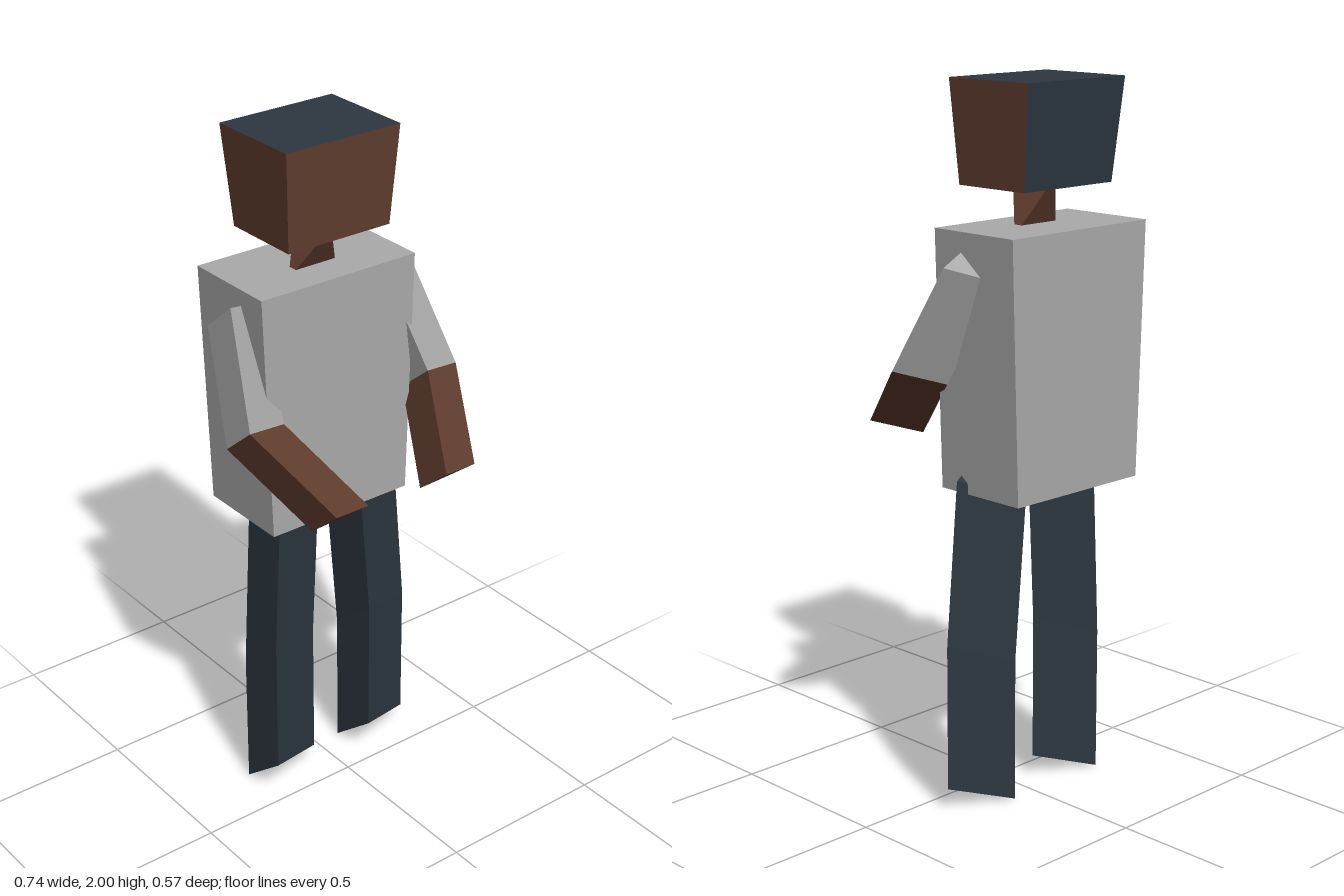
import * as THREE from 'three';

const paint = (name, color) => {
  const m = new THREE.MeshStandardMaterial({ color });
  m.name = name;
  return m;
};

// Closed solid through rings of corners, first ring on top, each ring
// counter-clockwise from above. Groups: 0 = sides and bottom, 1 = top and back.
function loft(rings, backSide = -1) {
  const pos = [], groups = [];
  const face = (slot, ...c) => {
    const start = pos.length / 3;
    for (let i = 1; i < c.length - 1; i++) pos.push(...c[0], ...c[i], ...c[i + 1]);
    groups.push([start, pos.length / 3 - start, slot]);
  };
  const n = rings[0].length;
  for (let r = 0; r < rings.length - 1; r++) {
    const a = rings[r], b = rings[r + 1];
    for (let i = 0; i < n; i++) {
      const j = (i + 1) % n;
      face(i === backSide ? 1 : 0, a[i], b[i], b[j], a[j]);
    }
  }
  face(1, ...rings[0]);
  face(0, ...[...rings[rings.length - 1]].reverse());
  const g = new THREE.BufferGeometry();
  g.setAttribute('position', new THREE.Float32BufferAttribute(pos, 3));
  groups.forEach((s) => g.addGroup(...s));
  g.computeVertexNormals();
  return g;
}

// Level rectangle
const rect = (y, x0, x1, z0, z1) => [[x0, y, z1], [x1, y, z1], [x1, y, z0], [x0, y, z0]];

// Three-sided limb: a fixed triangle swept along the path of its front corner
const ARM = [[0, 0, 0], [0.147, -0.04, -0.053], [0, -0.09, -0.108]];
const LEG = [[0, 0, 0], [0.19, -0.06, -0.08], [0, -0.125, -0.152]];
const limb = (section, path) =>
  loft(path.map((p) => section.map((c) => c.map((v, k) => v + p[k]))));

export function createModel() {
  const model = new THREE.Group();
  model.name = 'figure';
  const shirt = paint('grey shirt', 0xaaaaaa);
  const skin = paint('brown skin', 0x623e30);
  const dark = paint('dark navy', 0x2d3740);

  const add = (name, geometry, material) => {
    if (!Array.isArray(material)) geometry.clearGroups();
    const mesh = new THREE.Mesh(geometry, material);
    mesh.name = name;
    model.add(mesh);
  };

  // Head with hair on its top and back
  add('head', loft([
    rect(2, -0.208, 0.156, -0.27, 0.018),
    rect(1.72, -0.19, 0.14, -0.243, -0.003),
  ], 2), [skin, dark]);

  // Neck: a twisted wedge, edge along z above and along x below
  add('neck', loft([
    rect(1.74, -0.029, -0.027, -0.19, -0.035),
    rect(1.59, -0.105, 0.05, -0.121, -0.119),
  ]), skin);

  // Torso, narrower at the hem
  add('torso', loft([
    rect(1.615, -0.28, 0.227, -0.288, 0),
    rect(0.905, -0.256, 0.205, -0.288, 0),
  ]), shirt);

  // Arms: shoulder, elbow and hand
  const arms = {
    left: [[0.173, 1.575, -0.078], [0.224, 1.29, 0.067], [0.111, 1.1, 0.286]],
    right: [[-0.322, 1.58, -0.079], [-0.373, 1.29, 0.067], [-0.26, 1.1, 0.286]],
  };
  for (const [side, [shoulder, elbow, hand]] of Object.entries(arms)) {
    add(`${side}UpperArm`, limb(ARM, [shoulder, elbow]), shirt);
    add(`${side}Forearm`, limb(ARM, [elbow, hand]), skin);
  }

  // Legs: hip, knee and foot
  const legs = {
    left: [[0.045, 1.005, -0.008], [0.079, 0.54, -0.002], [0.079, 0.127, -0.002]],
    right: [[-0.226, 1.005, -0.008], [-0.255, 0.54, -0.002], [-0.255, 0.127, -0.002]],
  };
  for (const [side, path] of Object.entries(legs)) add(`${side}Leg`, limb(LEG, path), dark);

  return model;
}
